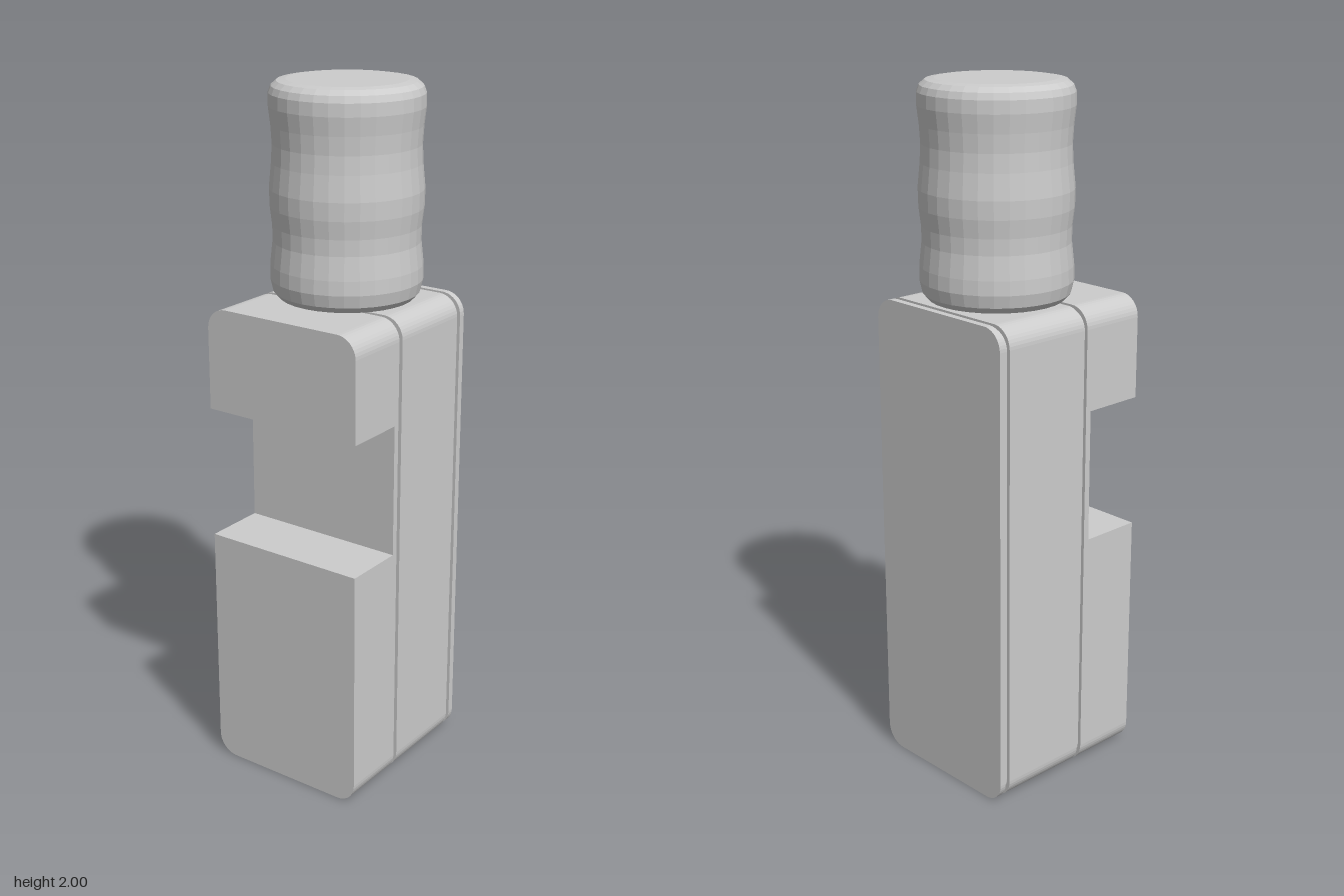
import * as THREE from 'three';

const HALF_DEPTH = 0.248, HEIGHT = 1.4, RADIUS = 0.06, INSET = 0.01;

// Side outline (z across, y up) cut between two heights; outer corners are rounded
function outline(y0, y1, inset = 0) {
  const w = HALF_DEPTH - inset, r = RADIUS - inset / 2;
  const b = Math.max(y0, inset), t = Math.min(y1, HEIGHT - inset);
  const s = new THREE.Shape();
  if (y0 <= 0) {
    s.absarc(-w + r, b + r, r, Math.PI, Math.PI * 1.5);
    s.absarc(w - r, b + r, r, Math.PI * 1.5, Math.PI * 2);
  } else {
    s.moveTo(-w, b);
    s.lineTo(w, b);
  }
  if (y1 >= HEIGHT) {
    s.absarc(w - r, t - r, r, 0, Math.PI / 2);
    s.absarc(-w + r, t - r, r, Math.PI / 2, Math.PI);
  } else {
    s.lineTo(w, t);
    s.lineTo(-w, t);
  }
  s.closePath();
  return s;
}

export function createModel() {
  const model = new THREE.Group();
  const material = new THREE.MeshStandardMaterial({ color: 0xcccccc, flatShading: true });

  function add(name, geometry) {
    const mesh = new THREE.Mesh(geometry, material);
    mesh.name = name;
    model.add(mesh);
    return mesh;
  }

  // Slab of the side outline, running along x from x0 to x1
  function slab(name, x0, x1, y0 = 0, y1 = HEIGHT, inset = 0) {
    const g = new THREE.ExtrudeGeometry(outline(y0, y1, inset), {
      depth: x1 - x0, bevelEnabled: false, curveSegments: 5,
    });
    g.rotateY(Math.PI / 2).translate(x0, 0, 0);
    return add(name, g);
  }

  // Body: side cover, main block and notched block, parted by recessed seams
  slab('sideCover', 0.243, 0.263);
  slab('coverSeam', 0.228, 0.243, 0, HEIGHT, INSET);
  slab('mainBlock', -0.047, 0.228);
  slab('blockSeam', -0.062, -0.047, 0, HEIGHT, INSET);
  slab('notchWall', -0.08, -0.062);
  slab('lowerJaw', -0.264, -0.08, 0, 0.72);
  slab('upperJaw', -0.264, -0.08, 1.105, HEIGHT);

  // Small rounded pad under the upper jaw
  const pad = new THREE.Shape();
  pad.moveTo(-0.032, 0.002);
  pad.lineTo(-0.032, -0.005);
  pad.lineTo(-0.022, -0.015);
  pad.lineTo(0.022, -0.015);
  pad.lineTo(0.032, -0.005);
  pad.lineTo(0.032, 0.002);
  const padGeometry = new THREE.ExtrudeGeometry(pad, { depth: 0.24, bevelEnabled: false });
  add('jawPad', padGeometry.translate(0, 0, -0.12)).position.set(-0.175, 1.105, 0);

  // Wavy grip knob
  const profile = [
    [0, 1.4], [0.16, 1.4], [0.19, 1.408], [0.205, 1.425], [0.213, 1.46],
    [0.212, 1.5], [0.205, 1.565], [0.206, 1.61], [0.212, 1.66], [0.213, 1.71],
    [0.206, 1.78], [0.204, 1.83], [0.207, 1.88], [0.213, 1.93], [0.212, 1.965],
    [0.205, 1.983], [0.19, 1.996], [0.165, 2], [0, 2],
  ].map(([r, y]) => new THREE.Vector2(r, y));
  add('gripKnob', new THREE.LatheGeometry(profile, 32)).position.x = 0.042;

  return model;
}
